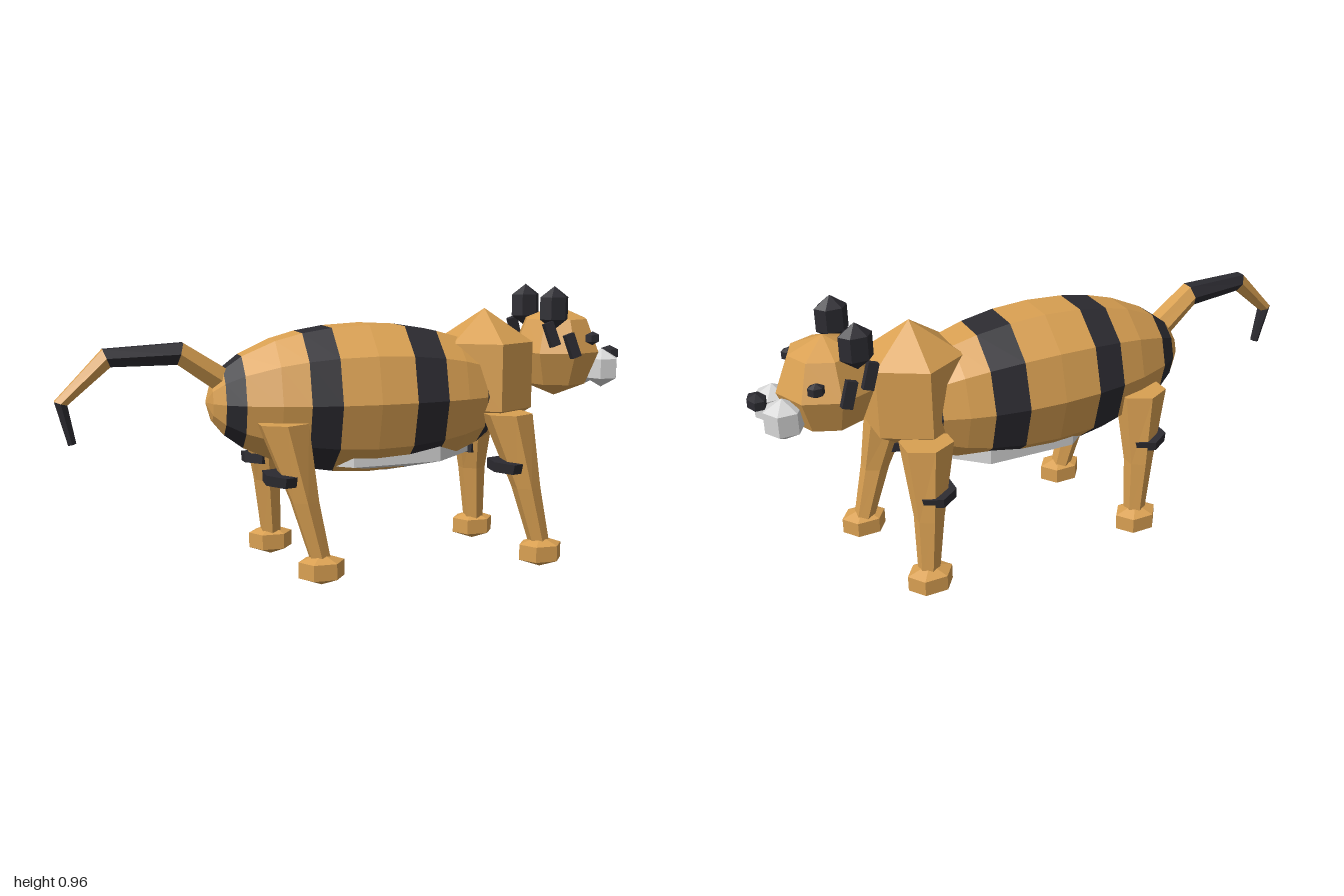
import * as THREE from 'three';

const mat = (name, color) => {
  const m = new THREE.MeshStandardMaterial({ color, flatShading: true });
  m.name = name;
  return m;
};

export function createModel() {
  const orange = mat('orange fur', 0xd9a052);
  const black = mat('black fur', 0x2c2b31);
  const white = mat('white fur', 0xd6d6d6);
  const root = new THREE.Group();
  root.name = 'stripedCat';

  const add = (name, geometry, material, x = 0, y = 0, z = 0) => {
    const mesh = new THREE.Mesh(geometry, material);
    mesh.name = name;
    mesh.position.set(x, y, z);
    root.add(mesh);
    return mesh;
  };

  // Faceted blob: a coarse sphere scaled to three radii
  const blob = (name, material, [x, y, z], [rx, ry, rz], sides = 6, rows = 3, turn = 0) => {
    const g = new THREE.SphereGeometry(1, sides, rows);
    g.rotateY(turn);
    g.scale(rx, ry, rz);
    return add(name, g, material, x, y, z);
  };

  // Ring around p, facing dir; ru is the radius along z, rv across it
  const Z = new THREE.Vector3(0, 0, 1);
  const ring = (p, dir, ru, rv, sides) => {
    const v = dir.clone().cross(Z).normalize();
    return Array.from({ length: sides }, (_, j) => {
      const a = (j / sides) * Math.PI * 2;
      return p.clone().addScaledVector(Z, Math.cos(a) * ru).addScaledVector(v, Math.sin(a) * rv);
    });
  };

  // Skin between rings, with closed ends
  const loft = (rings) => {
    const pts = [];
    const n = rings[0].length;
    const mid = (r) => r.reduce((s, p) => s.add(p), new THREE.Vector3()).divideScalar(n);
    const first = rings[0], last = rings[rings.length - 1];
    const c0 = mid(first), c1 = mid(last);
    for (let j = 0; j < n; j++) {
      const k = (j + 1) % n;
      for (let i = 0; i < rings.length - 1; i++) {
        const a = rings[i][j], b = rings[i][k], c = rings[i + 1][k], d = rings[i + 1][j];
        pts.push(a, b, c, a, c, d);
      }
      pts.push(c0, first[k], first[j], c1, last[j], last[k]);
    }
    const g = new THREE.BufferGeometry().setFromPoints(pts);
    g.computeVertexNormals();
    return g;
  };

  // Body: ten-sided ellipsoid cut into plain and striped slices
  const X = new THREE.Vector3(1, 0, 0);
  const bodyRing = (x) => {
    const f = Math.sqrt(Math.max(0.0004, 1 - ((x - 0.03) / 0.545) ** 2));
    return ring(new THREE.Vector3(x, 0.595, 0), X, 0.226 * f, 0.262 * f, 10);
  };
  const slices = [
    [orange, -0.515, -0.497, -0.46], [black, -0.46, -0.4], [orange, -0.4, -0.29, -0.2],
    [black, -0.2, -0.1], [orange, -0.1, 0.03, 0.155], [black, 0.155, 0.27],
    [orange, 0.27, 0.35, 0.43], [black, 0.43, 0.53], [orange, 0.53, 0.573],
  ];
  for (const [m, ...xs] of slices) {
    add(m === black ? 'bodyStripe' : 'body', loft(xs.map(bodyRing)), m);
  }
  blob('belly', white, [0.11, 0.42, 0], [0.355, 0.088, 0.18]).rotation.z = 0.02;

  // Shoulders and head
  blob('shoulders', orange, [0.472, 0.66, 0], [0.197, 0.23, 0.197], 6, 3, Math.PI / 6);
  blob('head', orange, [0.748, 0.735, 0], [0.16, 0.162, 0.16], 8, 4);
  blob('nose', black, [0.967, 0.72, 0], [0.034, 0.027, 0.05]);

  for (const s of [1, -1]) {
    blob('ear', black, [0.682, 0.892, s * 0.118], [0.061, 0.076, 0.046]);
    blob('eye', black, [0.82, 0.787, s * 0.142], [0.03, 0.024, 0.025]);
    blob('muzzle', white, [0.905, 0.673, s * 0.057], [0.07, 0.069, 0.07]);
    // Two slanted marks on each cheek
    for (const [x, y, z, h] of [[0.657, 0.805, 0.155, 0.085], [0.73, 0.765, 0.168, 0.085]]) {
      const mark = add('cheekStripe', new THREE.BoxGeometry(0.034, h, 0.024), black, x, y, s * z);
      mark.rotation.set(-s * 0.12, 0, 0.32);
    }
  }

  // Legs: tapered columns with a dark band and a faceted paw
  const Y = new THREE.Vector3(0, 1, 0);
  for (const [name, hip] of [['frontLeg', 0.495], ['hindLeg', -0.29]]) {
    for (const s of [1, -1]) {
      const step = s > 0 ? 0.115 : 0.03;
      const sections = [
        [step, 0.08, 0.2, 0.037, 0.036],
        [step * 0.55, 0.285, 0.192, 0.05, 0.05],
        [0, 0.54, 0.16, 0.08, 0.09],
      ];
      add(name, loft(sections.map(([dx, y, z, ru, rv]) =>
        ring(new THREE.Vector3(hip + dx, y, s * z), Y, ru, rv, 6))), orange);
      blob('paw', orange, [hip + step, 0.057, s * 0.209], [0.09, 0.054, 0.072]);
      const band = add('legBand', new THREE.CylinderGeometry(0.068, 0.064, 0.034, 6), black,
        hip - 0.012, 0.363, s * 0.191);
      band.rotation.set(s * 0.06, 0, -0.1);
    }
  }

  // Tail: bent tapering segments in alternating colours
  const path = [[-0.42, 0.64, 0.005], [-0.6, 0.762, 0.03], [-0.835, 0.757, 0.062],
    [-0.98, 0.62, 0.076], [-0.95, 0.488, 0.076]].map((p) => new THREE.Vector3(...p));
  const radii = [0.048, 0.042, 0.035, 0.024, 0.015];
  const tailRings = path.map((p, i) => {
    const before = path[Math.max(i - 1, 0)], after = path[Math.min(i + 1, 4)];
    const dir = p.clone().sub(before).normalize().add(after.clone().sub(p).normalize()).setZ(0);
    return ring(p, dir.normalize(), radii[i], radii[i], 6);
  });
  for (let i = 0; i < 4; i++) {
    add('tailSegment', loft([tailRings[i], tailRings[i + 1]]), i % 2 ? black : orange);
  }
  return root;
}
